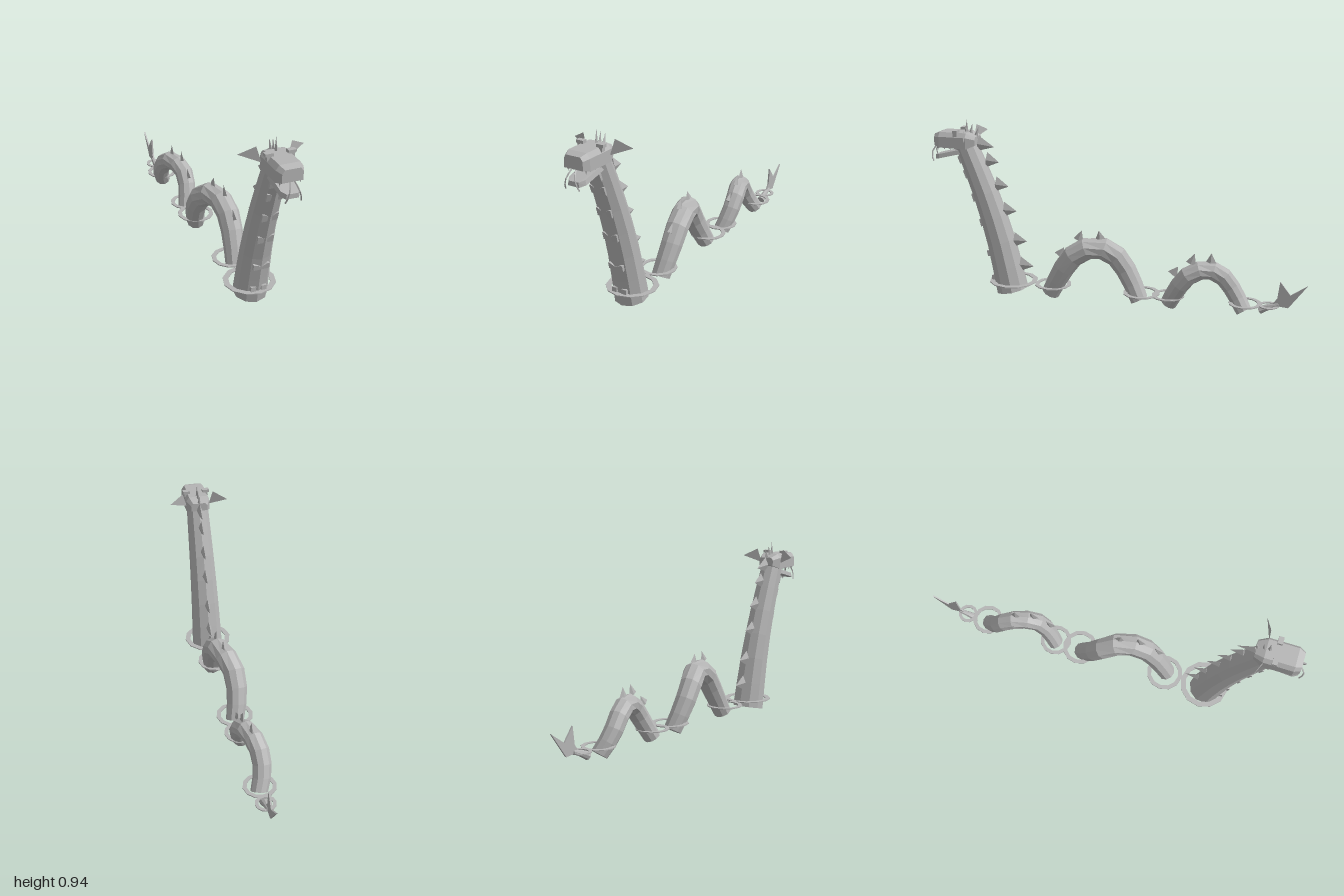
import * as THREE from 'three';
import { ConvexGeometry } from 'three/addons/geometries/ConvexGeometry.js';

const stone = new THREE.MeshStandardMaterial({ color: 0xb4b4b4, side: THREE.DoubleSide });
stone.name = 'stone grey';
const V = (x, y, z) => new THREE.Vector3(x, y, z);

export function createModel() {
  const model = new THREE.Group();
  model.name = 'seaSerpent';

  // Adds a faceted mesh
  function add(name, geometry, parent = model) {
    const geo = geometry.index ? geometry.toNonIndexed() : geometry;
    geo.computeVertexNormals();
    const mesh = new THREE.Mesh(geo, stone);
    mesh.name = name;
    parent.add(mesh);
    return mesh;
  }

  // Capped tube of ten sides along a smooth path, radius given by t in 0..1
  function body(path, radius, steps, sides = 10) {
    const curve = new THREE.CatmullRomCurve3(path.map(p => V(...p)));
    const pos = [], idx = [];
    for (let i = 0; i <= steps; i++) {
      const t = i / steps, c = curve.getPointAt(t), tan = curve.getTangentAt(t);
      tan.x *= 0.6;
      tan.normalize();
      const side = V(1, 0, 0).addScaledVector(tan, -tan.x).normalize();
      const up = tan.clone().cross(side);
      for (let j = 0; j < sides; j++) {
        const a = j / sides * Math.PI * 2, r = radius(t);
        const p = c.clone().addScaledVector(up, r * Math.cos(a)).addScaledVector(side, r * Math.sin(a));
        pos.push(p.x, p.y, p.z);
      }
    }
    const first = pos.length / 3, last = first + 1;
    for (const p of [curve.getPointAt(0), curve.getPointAt(1)]) pos.push(p.x, p.y, p.z);
    for (let j = 0; j < sides; j++) {
      const k = (j + 1) % sides;
      for (let i = 0; i < steps; i++) {
        const a = i * sides + j, b = i * sides + k, c = a + sides, d = b + sides;
        idx.push(a, c, b, b, c, d);
      }
      idx.push(first, j, k, last, steps * sides + k, steps * sides + j);
    }
    const geo = new THREE.BufferGeometry();
    geo.setAttribute('position', new THREE.Float32BufferAttribute(pos, 3));
    geo.setIndex(idx);
    return geo;
  }

  // Narrow pyramid from base to tip
  function spike(name, base, tip, r, thin = 0.35) {
    const dir = tip.clone().sub(base), h = dir.length();
    const geo = new THREE.ConeGeometry(r, h, 4);
    geo.translate(0, h / 2, 0);
    geo.scale(thin, 1, 1);
    const mesh = add(name, geo);
    mesh.quaternion.setFromUnitVectors(V(0, 1, 0), dir.normalize());
    mesh.position.copy(base);
  }

  // Neck and the two humps
  add('neck', body([[0, 0.025, 0.573], [0, 0.3, 0.632], [0, 0.56, 0.712], [0, 0.81, 0.81]],
    t => 0.086 - 0.026 * t, 6));
  add('frontHump', body([[0.02, 0.035, 0.348], [0.035, 0.17, 0.275], [0.035, 0.26, 0.21],
    [0.015, 0.31, 0.1], [-0.025, 0.26, 0], [-0.03, 0.16, -0.07], [-0.005, 0.035, -0.135]],
    t => 0.048 + 0.012 * Math.sin(t * Math.PI), 9));
  add('rearHump', body([[0, 0.035, -0.293], [0.027, 0.14, -0.35], [0.028, 0.205, -0.4],
    [0, 0.238, -0.49], [-0.025, 0.2, -0.57], [-0.028, 0.12, -0.63], [0, 0.035, -0.685]],
    t => 0.043 + 0.007 * Math.sin(t * Math.PI), 9));

  // Flat ripple rings at the waterline: z, outer radius, inner radius
  const polygon = (path, r) => {
    for (let i = 0; i <= 12; i++) {
      const a = i / 12 * Math.PI * 2;
      path[i ? 'lineTo' : 'moveTo'](r * Math.cos(a), r * Math.sin(a));
    }
    return path;
  };
  for (const [z, outer, inner] of [[0.565, 0.13, 0.103], [0.34, 0.098, 0.076], [-0.148, 0.097, 0.075],
    [-0.29, 0.086, 0.066], [-0.69, 0.084, 0.064], [-0.81, 0.053, 0.036]]) {
    const shape = polygon(new THREE.Shape(), outer);
    shape.holes.push(polygon(new THREE.Path(), inner));
    const geo = new THREE.ExtrudeGeometry(shape, { depth: 0.005, bevelEnabled: false });
    geo.rotateX(-Math.PI / 2);
    add('rippleRing', geo).position.set(0, 0.0745, z);
  }

  // Back spikes on the neck: base y, z and tip y, z
  for (const [by, bz, ty, tz] of [[0.82, 0.745, 0.805, 0.655], [0.735, 0.7, 0.725, 0.63],
    [0.607, 0.652, 0.597, 0.58], [0.47, 0.61, 0.465, 0.538], [0.307, 0.556, 0.302, 0.484],
    [0.172, 0.525, 0.165, 0.45]]) spike('neckSpike', V(0, by, bz), V(0, ty, tz), 0.042);

  // Hump spikes: x, base y, z and tip y, z
  for (const [x, by, bz, ty, tz] of [[0.04, 0.255, 0.29, 0.302, 0.262], [0.03, 0.345, 0.185, 0.4, 0.167],
    [0.012, 0.355, 0.072, 0.4, 0.08], [0.028, 0.205, -0.318, 0.25, -0.347],
    [0.024, 0.27, -0.412, 0.325, -0.43], [0, 0.275, -0.51, 0.327, -0.512]])
    spike('humpSpike', V(x, by, bz), V(x, ty, tz), 0.028);

  // Notched belly plates: y, z, height
  for (const [y, z, h, tilt] of [[0.745, 0.842, 0.04, 0.38], [0.668, 0.813, 0.046, 0.36],
    [0.542, 0.772, 0.044, 0.3], [0.405, 0.733, 0.04, 0.25], [0.235, 0.697, 0.032, 0.2]]) {
    const s = new THREE.Shape([[-0.04, -h / 2], [0.04, -h / 2], [0.04, h / 2], [0.03, h / 2],
      [0, h * 0.05], [-0.03, h / 2], [-0.04, h / 2]].map(p => new THREE.Vector2(...p)));
    const plate = add('bellyPlate', new THREE.ExtrudeGeometry(s, { depth: 0.035, bevelEnabled: false }));
    plate.position.set(0, y, z - 0.034);
    plate.rotation.x = tilt;
  }

  // Head: bevelled block tapering to the neck and snout; rows are z, half width, bottom, shoulder, top
  const headPoints = [];
  for (const [z, w, lo, mid, hi] of [[0.745, 0.045, 0.815, 0.845, 0.86], [0.79, 0.065, 0.797, 0.857, 0.88],
    [0.94, 0.065, 0.8, 0.857, 0.88], [0.972, 0.05, 0.808, 0.85, 0.868]])
    for (const s of [-1, 1])
      headPoints.push(V(s * w, lo, z), V(s * w, mid, z), V(s * w * 0.75, hi, z));
  add('head', new ConvexGeometry(headPoints));

  // Open lower jaw
  const jawPoints = [];
  for (const [z, w, y] of [[0.8, 0.05, 0.785], [0.95, 0.048, 0.748], [0.977, 0.03, 0.742]])
    for (const s of [-1, 1]) jawPoints.push(V(s * w, y - 0.011, z), V(s * w * 0.9, y + 0.012, z));
  add('lowerJaw', new ConvexGeometry(jawPoints));

  // Paired features
  for (const s of [-1, 1]) {
    add('brow', new THREE.BoxGeometry(0.038, 0.014, 0.026)).position.set(s * 0.054, 0.888, 0.844);
    add('eye', new THREE.BoxGeometry(0.024, 0.022, 0.022)).position.set(s * 0.054, 0.872, 0.846);
    add('lowerBellyScale', new THREE.BoxGeometry(0.026, 0.024, 0.03)).position.set(s * 0.027, 0.095, 0.661);

    const ear = new THREE.BufferGeometry().setFromPoints(
      [V(s * 0.062, 0.828, 0.795), V(s * 0.16, 0.865, 0.755), V(s * 0.085, 0.905, 0.787)]);
    add('earFin', ear);

    const whisker = new THREE.CatmullRomCurve3([V(s * 0.01, 0.81, 0.968), V(s * 0.022, 0.775, 0.995),
      V(s * 0.03, 0.75, 0.997), V(s * 0.037, 0.72, 0.985)]);
    add('whisker', new THREE.TubeGeometry(whisker, 4, 0.004, 4));

    for (let i = 0; i < 4; i++)
      spike('tooth', V(s * 0.048, 0.805, 0.85 + i * 0.033), V(s * 0.048, 0.785, 0.85 + i * 0.033), 0.007, 1);
  }

  // Crest on the back of the head
  spike('crestSpike', V(0, 0.86, 0.808), V(0, 0.945, 0.803), 0.013, 0.8);
  spike('crestSpike', V(0, 0.86, 0.785), V(0, 0.925, 0.772), 0.013, 0.8);
  spike('crestSpike', V(0, 0.85, 0.757), V(0, 0.91, 0.737), 0.013, 0.8);

  // Tail stub and forked fin
  add('tailStub', body([[0, 0.048, -0.765], [0, 0.07, -0.81], [0, 0.088, -0.86]],
    t => 0.021 - 0.011 * t, 2, 8));
  const fin = new THREE.Shape([[0.82, 0.072], [0.852, 0.12], [0.863, 0.21], [0.917, 0.142],
    [1, 0.2], [0.908, 0.074], [0.85, 0.08]].map(p => new THREE.Vector2(...p)));
  const finGeo = new THREE.ExtrudeGeometry(fin, { depth: 0.008, bevelEnabled: false });
  finGeo.translate(0, 0, -0.004);
  finGeo.rotateY(Math.PI / 2);
  add('tailFin', finGeo);

  return model;
}
